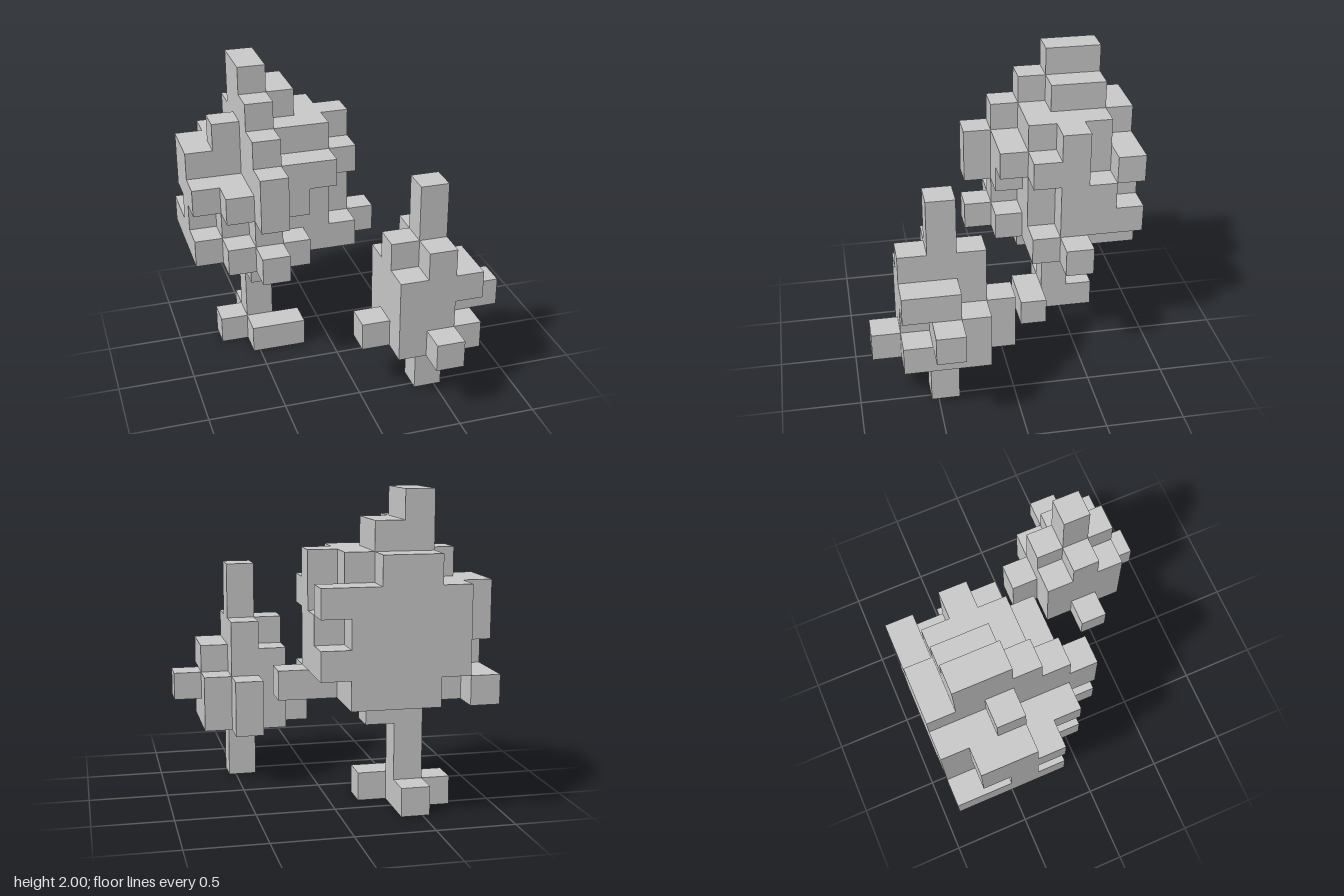
import * as THREE from 'three';
import { mergeGeometries } from 'three/addons/utils/BufferGeometryUtils.js';

const CELL = 2 / 11;

// Each part lists layers from the bottom up, starting at layer y.
// A layer maps a depth row to its first and last column: 'row:first-last'.
const PARTS = {
  largeTree: {
    roots: { y: 0, layers: ['1:2-2 2:1-2 3:2-3'] },
    trunk: { y: 1, layers: ['2:2-2', '2:2-2', '2:2-3 3:2-2'] },
    crown: {
      y: 4,
      layers: [
        '0:0-0 0:2-4 1:0-4 2:0-6 3:0-5 4:1-3 5:2-2',
        '0:1-5 1:1-5 2:0-5 3:1-4 4:2-2',
        '0:1-4 1:0-5 2:0-5 3:0-4 4:1-3 5:2-2',
        '0:1-5 1:0-4 2:0-5 3:2-5 4:2-4 5:2-2',
        '0:2-3 1:2-4 2:1-5 3:2-4 4:2-2',
        '1:2-3 2:2-3 3:2-2',
        '1:2-2 2:2-2',
      ],
    },
  },
  smallTree: {
    trunk: { y: 0, layers: ['7:7-7', '7:7-7'] },
    crown: {
      y: 2,
      layers: [
        '5:7-7 6:6-8 7:5-8 8:6-8 9:7-7',
        '5:7-7 6:6-8 7:6-9 8:6-7',
        '6:6-7 7:6-8 8:6-8',
        '6:7-7 7:6-7 8:7-7',
        '7:7-7',
        '7:7-7',
      ],
    },
  },
};

// Expand the runs of a part into cells [x, y, z]
function cellsOf({ y, layers }) {
  const cells = [];
  layers.forEach((layer, n) => {
    for (const run of layer.split(' ')) {
      const [z, first, last] = run.split(/[:-]/).map(Number);
      for (let x = first; x <= last; x++) cells.push([x, y + n, z]);
    }
  });
  return cells;
}

// One square for each side of a cell, with the direction it faces
const SIDES = [
  [0, 0, 1], [0, 0, -1], [1, 0, 0], [-1, 0, 0], [0, 1, 0], [0, -1, 0],
].map((dir) => {
  const square = new THREE.PlaneGeometry(CELL, CELL).translate(0, 0, CELL / 2);
  if (dir[1]) square.rotateX(-dir[1] * Math.PI / 2);
  else square.rotateY(Math.atan2(dir[0], dir[2]));
  return { dir, square };
});

// Outer skin of a block of cells: only sides with no neighbour
function skin(cells, filled) {
  const faces = [];
  for (const [x, y, z] of cells) {
    for (const { dir, square } of SIDES) {
      if (filled.has([x + dir[0], y + dir[1], z + dir[2]].join())) continue;
      faces.push(square.clone().translate((x - 4.5) * CELL, (y + 0.5) * CELL, (z - 4.5) * CELL));
    }
  }
  return mergeGeometries(faces);
}

export function createModel() {
  const model = new THREE.Group();
  model.name = 'trees';
  const material = new THREE.MeshStandardMaterial({ color: 0xcccccc, flatShading: true });

  for (const [treeName, parts] of Object.entries(PARTS)) {
    const tree = new THREE.Group();
    tree.name = treeName;
    const filled = new Set(Object.values(parts).flatMap(cellsOf).map((c) => c.join()));
    for (const [name, part] of Object.entries(parts)) {
      const mesh = new THREE.Mesh(skin(cellsOf(part), filled), material);
      mesh.name = name;
      tree.add(mesh);
    }
    model.add(tree);
  }
  return model;
}
